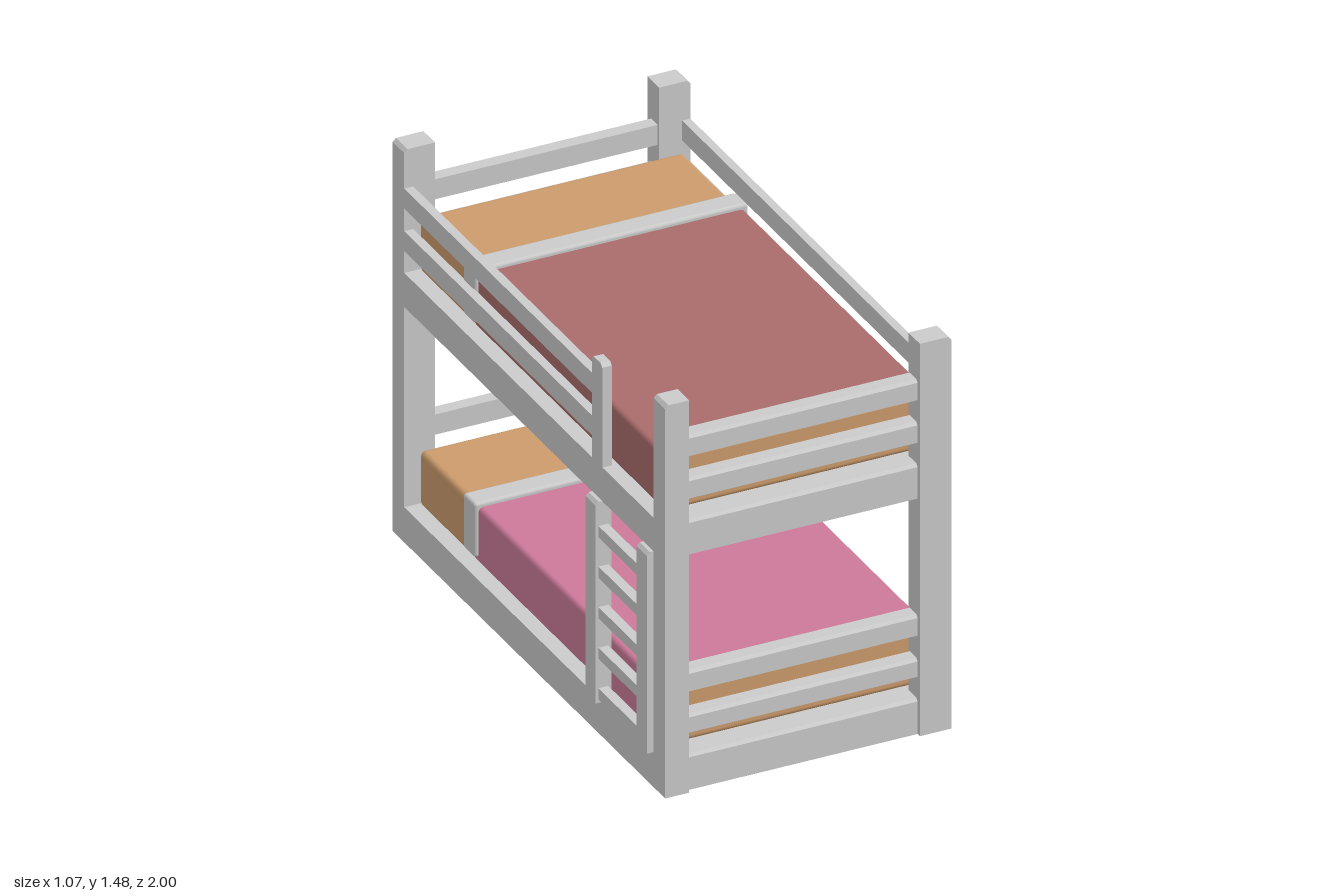
import * as THREE from 'three';
import { RoundedBoxGeometry } from 'three/addons/geometries/RoundedBoxGeometry.js';

const mat = (name, color) => {
  const m = new THREE.MeshStandardMaterial({ color });
  m.name = name;
  return m;
};

export function createModel() {
  const wood = mat('greyWood', 0xcacaca);
  const sheet = mat('tanMattress', 0xcb9b6b);
  const pink = mat('pinkBlanket', 0xcb7999);
  const red = mat('redBlanket', 0xa96b6b);
  const bed = new THREE.Group();
  bed.name = 'bunkBed';

  const add = (name, geo, material, parent = bed) => {
    const mesh = new THREE.Mesh(geo, material);
    mesh.name = name;
    parent.add(mesh);
    return mesh;
  };
  // Box given by its limits on each axis
  const box = (name, [x0, x1], [y0, y1], [z0, z1], parent) =>
    add(name, new THREE.BoxGeometry(x1 - x0, y1 - y0, z1 - z0)
      .translate((x0 + x1) / 2, (y0 + y1) / 2, (z0 + z1) / 2), wood, parent);
  const soft = (name, [x0, x1], [y0, y1], [z0, z1], r, material, parent) =>
    add(name, new RoundedBoxGeometry(x1 - x0, y1 - y0, z1 - z0, 3, r)
      .translate((x0 + x1) / 2, (y0 + y1) / 2, (z0 + z1) / 2), material, parent);
  // Rectangle with cut top corners, extruded along its depth
  const cutBlock = (a0, a1, y0, y1, depth, left, right) => {
    const s = new THREE.Shape();
    s.moveTo(a0, y0);
    s.lineTo(a1, y0);
    s.lineTo(a1, y1 - right);
    s.lineTo(a1 - right, y1);
    s.lineTo(a0 + left, y1);
    s.lineTo(a0, y1 - left);
    return new THREE.ExtrudeGeometry(s, { depth, bevelEnabled: false });
  };

  // Four corner posts with the outer top edge cut
  for (const [z, leftInner] of [[-1, -0.4], [0.915, -0.425]]) {
    add('leftPost', cutBlock(-0.513, leftInner, 0, 1.475, 0.085, 0.012, 0).translate(0, 0, z), wood);
    add('rightPost', cutBlock(0.42, 0.535, 0, 1.475, 0.085, 0, 0.012).translate(0, 0, z), wood);
  }

  // End boards and rails, the same at both ends
  const endHeights = [[0, 0.132], [0.215, 0.282], [0.37, 0.446],
    [0.885, 1.013], [1.095, 1.17], [1.255, 1.33]];
  for (const side of [1, -1]) {
    for (const [y0, y1] of endHeights) {
      const rail = add('endRail', cutBlock(0.925, 0.983, y0, y1, 0.86, 0, 0.01), wood);
      rail.rotation.y = -side * Math.PI / 2;
      rail.position.x = side > 0 ? 0.43 : -0.43;
    }
  }

  // Side boards, slatted floors and guard rails
  const length = [-0.92, 0.92], rightX = [0.505, 0.535], leftX = [-0.513, -0.48];
  for (const y of [[0, 0.132], [0.885, 1.013]]) {
    box('rightSideBoard', rightX, y, length);
    box('leftSideBoard', leftX, y, length);
    box('bedFloor', [-0.485, 0.51], [y[0] + 0.003, y[1]], [-0.94, 0.94]);
  }
  for (const y of [[1.095, 1.17], [1.255, 1.33]]) {
    box('rightGuardRail', rightX, y, length);
    box('leftGuardRail', leftX, y, [-0.92, 0.47]);
  }
  // Guard post beside the ladder opening
  const guard = add('guardPost', cutBlock(-0.54, -0.465, 1.01, 1.4, 0.035, 0.012, 0.012), wood);
  guard.rotation.y = Math.PI / 2;
  guard.position.x = -0.514;

  // Ladder on the left side
  const ladder = new THREE.Group();
  ladder.name = 'ladder';
  bed.add(ladder);
  for (const z of [0.465, 0.84]) {
    add('ladderUpright', cutBlock(-0.538, -0.48, 0.132, 0.887, 0.075, 0.012, 0).translate(0, 0, z), wood, ladder);
  }
  for (let i = 0; i < 5; i++) {
    const y = 0.145 + i * 0.1525;
    box('rung', [-0.528, -0.492], [y, y + 0.042], [0.53, 0.85], ladder);
  }

  // Bedding for both bunks
  for (const [base, blanket, name] of [[0.132, pink, 'lowerBedding'], [1.012, red, 'upperBedding']]) {
    const g = new THREE.Group();
    g.name = name;
    bed.add(g);
    soft('mattress', [-0.463, 0.503], [base, base + 0.207], [-0.907, 0.9], 0.02, sheet, g);
    soft('blanket', [-0.468, 0.508], [base + 0.004, base + 0.215], [-0.5, 0.89], 0.018, blanket, g);
    soft('foldedSheet', [-0.483, 0.522], [base + 0.028, base + 0.233], [-0.547, -0.46], 0.012, wood, g);
  }
  return bed;
}
